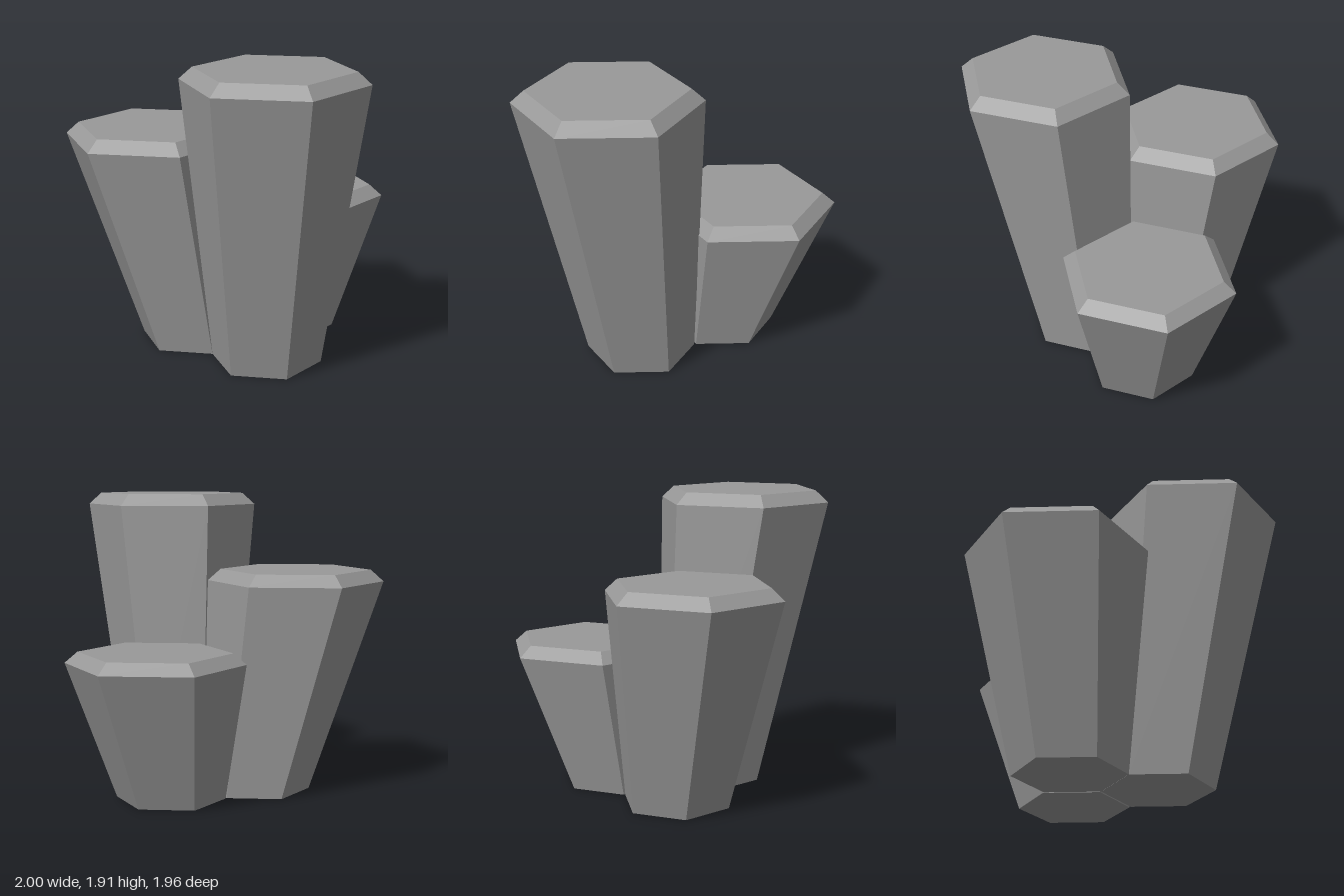
import * as THREE from 'three';

// Hexagonal column leaning outward: foot, rim and chamfered top rings.
function columnGeometry(side, z, rimY, topY) {
  const rings = {
    '-1': { y: 0, r: 0.348, x: side * 0.267, z: z * 0.302 },
    '0': { y: rimY, r: 0.566, x: side * 0.434, z: z * 0.49 },
    '1': { y: topY, r: 0.484, x: side * 0.434, z: z * 0.49 },
  };
  const indexed = new THREE.CylinderGeometry(1, 1, 2, 6, 2);
  indexed.rotateY(Math.PI / 2);
  const p = indexed.attributes.position;
  for (let i = 0; i < p.count; i++) {
    const ring = rings[String(Math.round(p.getY(i)) + 0)];
    p.setXYZ(i, ring.x + p.getX(i) * ring.r, ring.y, ring.z + p.getZ(i) * ring.r);
  }
  // Separate faces give crisp facets
  const geometry = indexed.toNonIndexed();
  geometry.computeVertexNormals();
  return geometry;
}

export function createModel() {
  const group = new THREE.Group();
  group.name = 'columnCluster';
  const stone = new THREE.MeshStandardMaterial({ color: 0x999999 });
  stone.name = 'grey stone';

  const columns = [
    ['tallColumn', -1, 1, 1.838, 1.912],
    ['middleColumn', -1, -1, 1.36, 1.434],
    ['shortColumn', 1, 0, 0.885, 0.956],
  ];
  for (const [name, side, z, rimY, topY] of columns) {
    const mesh = new THREE.Mesh(columnGeometry(side, z, rimY, topY), stone);
    mesh.name = name;
    group.add(mesh);
  }
  return group;
}
